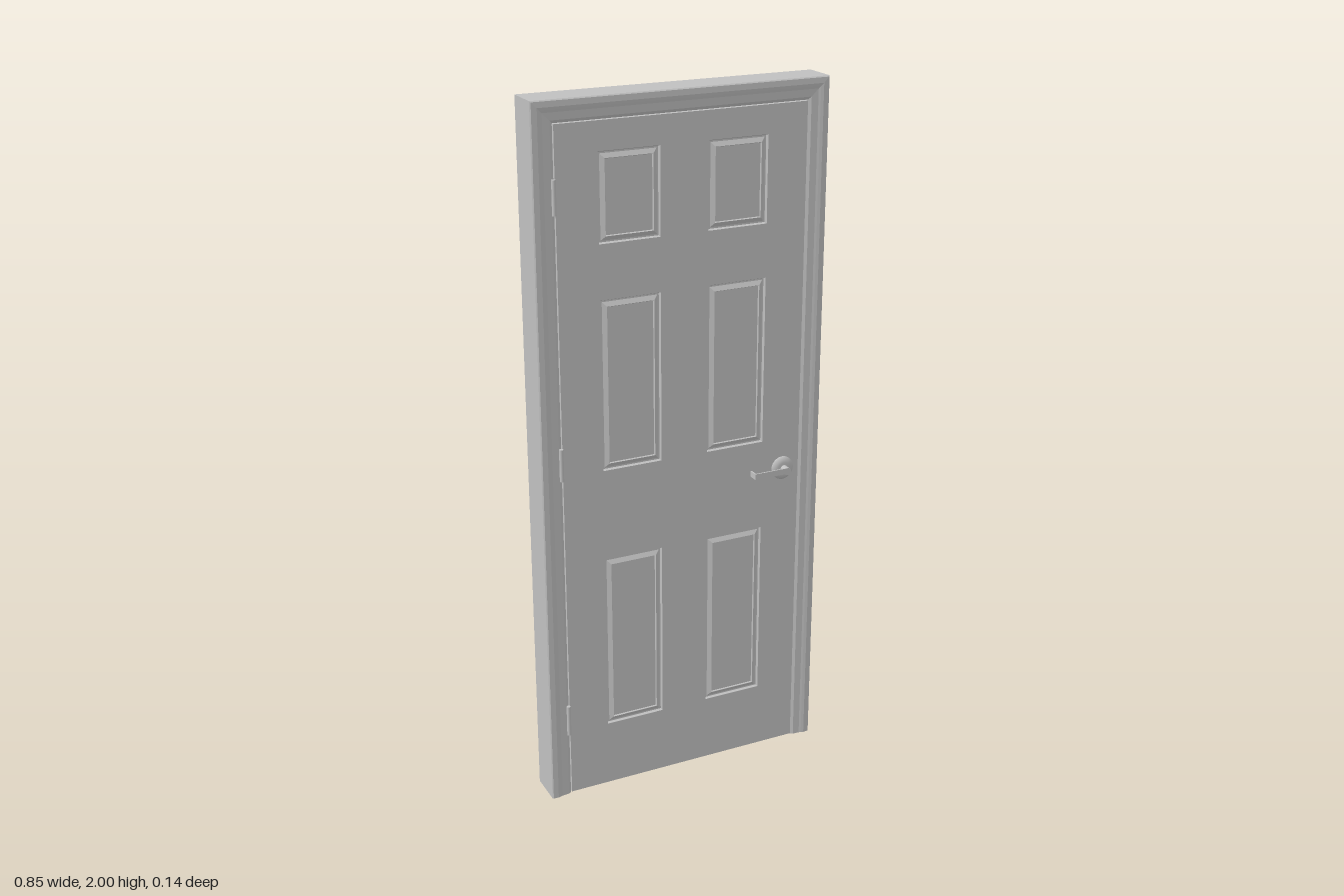
import * as THREE from 'three';

const W = 0.423, H = 2, FRONT = 0.031, BACK = -0.015;

const paint = new THREE.MeshStandardMaterial({ color: 0xc0c0c0 });
paint.name = 'grey paint';

function add(parent, name, geometry, x = 0, y = 0, z = 0) {
  const mesh = new THREE.Mesh(geometry, paint);
  mesh.name = name;
  mesh.position.set(x, y, z);
  parent.add(mesh);
  return mesh;
}

// Joins successive loops of points with quads, flat shaded
function loft(loops, closed, capLast) {
  const out = [];
  const quad = (a, b, c, d) => out.push(...a, ...b, ...c, ...a, ...c, ...d);
  for (let k = 0; k < loops.length - 1; k++) {
    const p = loops[k], q = loops[k + 1];
    for (let i = 0; i < p.length - (closed ? 0 : 1); i++) {
      const j = (i + 1) % p.length;
      quad(p[i], p[j], q[j], q[i]);
    }
  }
  if (capLast) quad(...loops[loops.length - 1]);
  const g = new THREE.BufferGeometry();
  g.setAttribute('position', new THREE.Float32BufferAttribute(out, 3));
  g.computeVertexNormals();
  return g;
}

// Jamb section: inset from the outer edge, z
const section = [
  [0, 0.033], [0.003, 0.036], [0.018, 0.037], [0.026, 0.035], [0.032, 0.033],
  [0.052, 0.032], [0.06, 0.027], [0.06, -0.017], [0.07, -0.017], [0.07, -0.036],
  [0.06, -0.036], [0.06, -0.061], [0.052, -0.066], [0.032, -0.067],
  [0.026, -0.069], [0.018, -0.071], [0.003, -0.07], [0, -0.067],
];

function buildFrame() {
  const frame = new THREE.Group();
  frame.name = 'doorFrame';
  const loops = [
    section.map(([d, z]) => [-W + d, 0, z]),
    section.map(([d, z]) => [-W + d, H - d, z]),
    section.map(([d, z]) => [W - d, H - d, z]),
    section.map(([d, z]) => [W - d, 0, z]),
  ];
  add(frame, 'mitredJamb', loft(loops, true, false));
  for (const s of [-1, 1]) {
    const shape = new THREE.Shape(section.map(([d, z]) => new THREE.Vector2(s * (W - d), z)));
    add(frame, 'jambFoot', new THREE.ShapeGeometry(shape).rotateX(Math.PI / 2));
  }
  return frame;
}

// Panel openings: x0, x1, y0, y1
const panels = [];
for (const [y0, y1] of [[0.2, 0.725], [0.99, 1.47], [1.62, 1.86]]) {
  panels.push([-0.244, -0.07, y0, y1], [0.07, 0.244, y0, y1]);
}

function rectPoints([x0, x1, y0, y1], inset, z) {
  return [
    [x0 + inset, y0 + inset, z], [x1 - inset, y0 + inset, z],
    [x1 - inset, y1 - inset, z], [x0 + inset, y1 - inset, z],
  ];
}

function buildSlab() {
  const toVectors = (r) => rectPoints(r, 0, 0).map(([x, y]) => new THREE.Vector2(x, y));
  const shape = new THREE.Shape(toVectors([-0.361, 0.361, 0.004, 1.938]));
  for (const r of panels) shape.holes.push(new THREE.Path(toVectors(r)));
  return new THREE.ExtrudeGeometry(shape, { depth: FRONT - BACK, bevelEnabled: false });
}

// Lever handle; z = 0 is the door face
function buildHandle() {
  const handle = new THREE.Group();
  handle.name = 'leverHandle';
  handle.position.set(0.309, 0.9, 0);
  const rose = [[0.034, 0], [0.034, 0.005], [0.026, 0.01], [0.018, 0.012], [0, 0.012]]
    .map(([r, z]) => new THREE.Vector2(r, z));
  add(handle, 'rose', new THREE.LatheGeometry(rose, 28).rotateX(Math.PI / 2));
  add(handle, 'spindle', new THREE.CylinderGeometry(0.011, 0.011, 0.036, 20).rotateX(Math.PI / 2), 0, 0, 0.018);
  add(handle, 'lever', new THREE.BoxGeometry(0.105, 0.017, 0.004), -0.0525, 0.002, 0.034);
  add(handle, 'leverReturn', new THREE.BoxGeometry(0.004, 0.017, 0.028), -0.103, 0.002, 0.022);
  return handle;
}

// Panels and handle of one door face
function buildFace(name) {
  const face = new THREE.Group();
  face.name = name;
  for (const r of panels) {
    const rings = [[0, 0], [0.003, -0.007], [0.007, -0.007], [0.019, 0], [0.021, -0.004]];
    add(face, 'raisedPanel', loft(rings.map(([i, z]) => rectPoints(r, i, z)), true, true));
  }
  face.add(buildHandle());
  return face;
}

export function createModel() {
  const model = new THREE.Group();
  model.name = 'panelDoor';
  model.add(buildFrame());

  const door = new THREE.Group();
  door.name = 'door';
  model.add(door);
  add(door, 'slab', buildSlab(), 0, 0, BACK);
  const front = buildFace('frontFace');
  front.position.z = FRONT;
  const back = buildFace('backFace');
  back.position.z = BACK;
  back.scale.z = -1;
  door.add(front, back);

  // Hinge knuckles
  for (const y of [0.245, 1.03, 1.755]) {
    add(door, 'hinge', new THREE.CylinderGeometry(0.006, 0.006, 0.092, 14), -0.366, y, 0.035);
  }
  return model;
}
